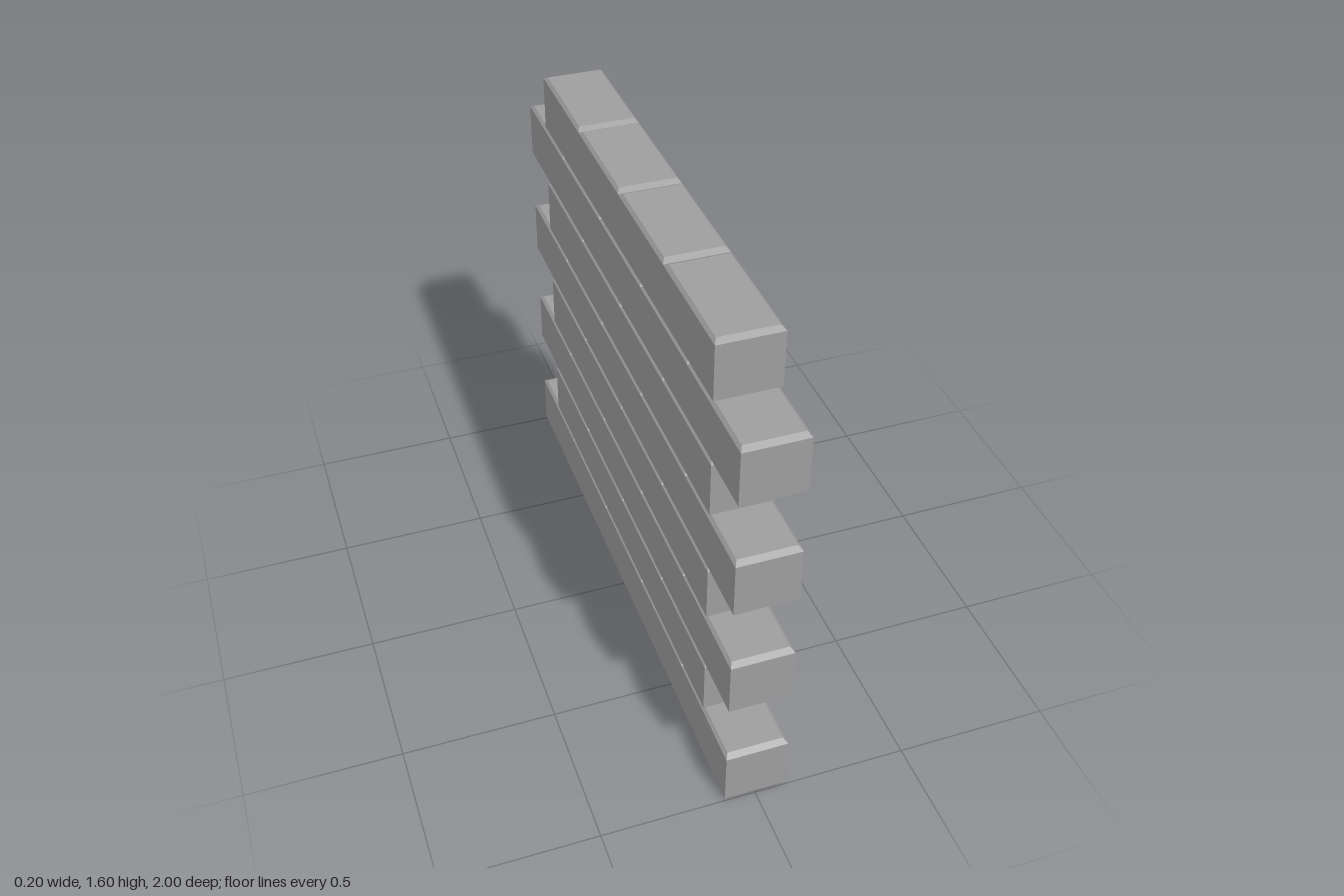
import * as THREE from 'three';

const W = 0.2, H = 0.2, L = 0.4;

// Brick whose top and bottom edges are bevelled, with square upright corners
function brickGeometry() {
  const box = new THREE.BoxGeometry(W, H, L, 1, 3, 1);
  const levels = [0, 0.01, H - 0.01, H];
  const p = box.attributes.position;
  for (let i = 0; i < p.count; i++) {
    const row = Math.round((p.getY(i) / H + 0.5) * 3);
    const inset = row === 0 || row === 3;
    p.setXYZ(
      i,
      Math.sign(p.getX(i)) * (W / 2 - (inset ? 0.01 : 0)),
      levels[row],
      Math.sign(p.getZ(i)) * (L / 2 - (inset ? 0.02 : 0))
    );
  }
  const geometry = box.toNonIndexed();
  geometry.computeVertexNormals();
  return geometry;
}

export function createModel() {
  const wall = new THREE.Group();
  wall.name = 'brickWall';
  const geometry = brickGeometry();
  const material = new THREE.MeshStandardMaterial({ color: 0x9e9e9e, flatShading: true });

  // Eight courses in running bond: five bricks, then four
  for (let c = 0; c < 8; c++) {
    const course = new THREE.Group();
    course.name = `course${c + 1}`;
    course.position.y = c * H;
    const count = c % 2 === 0 ? 5 : 4;
    for (let b = 0; b < count; b++) {
      const brick = new THREE.Mesh(geometry, material);
      brick.name = 'brick';
      brick.position.z = (b - (count - 1) / 2) * L;
      course.add(brick);
    }
    wall.add(course);
  }
  return wall;
}
